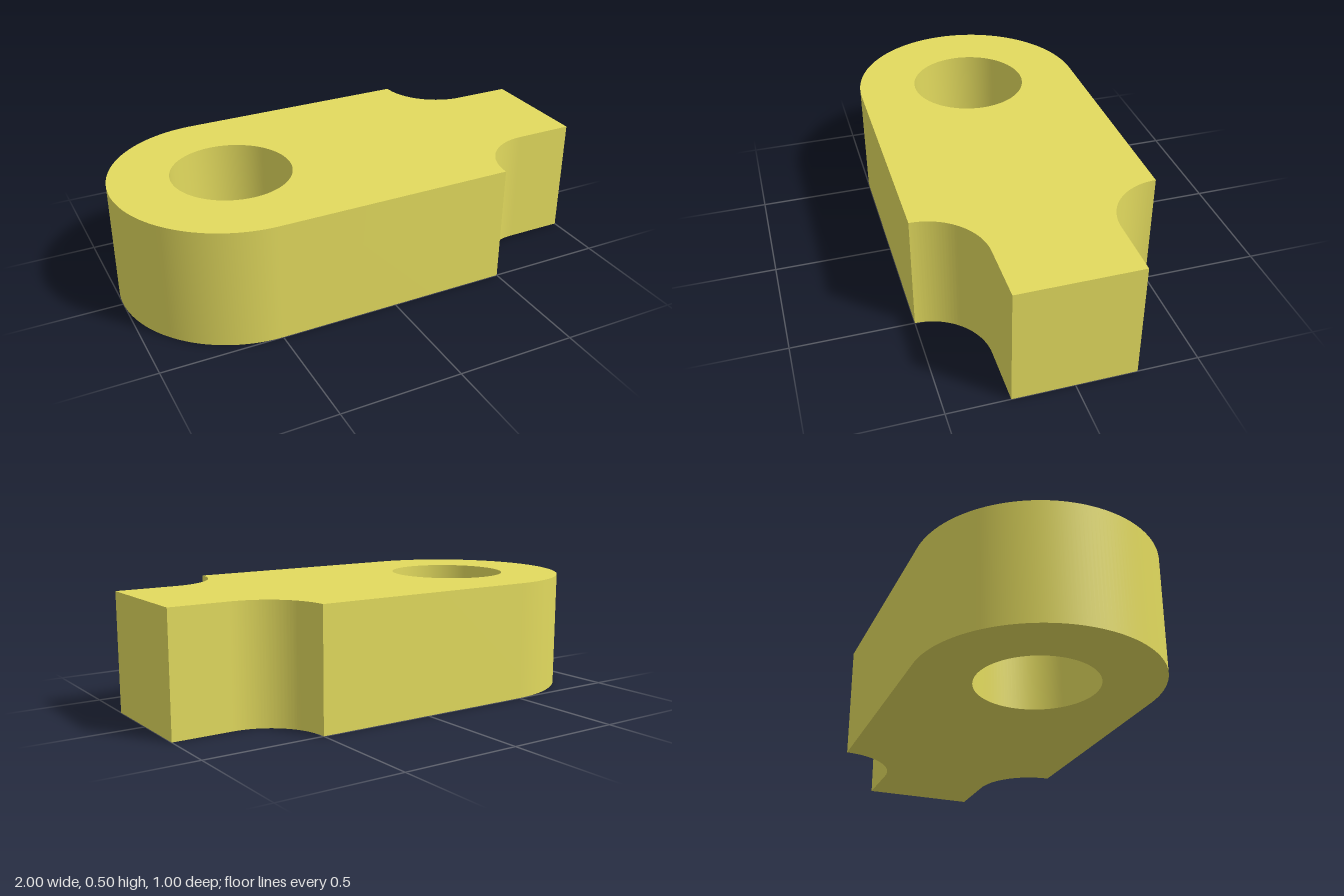
import * as THREE from 'three';
import { toCreasedNormals } from 'three/addons/utils/BufferGeometryUtils.js';

const HEIGHT = 0.5;

export function createModel() {
  const group = new THREE.Group();
  group.name = 'linkPlate';

  // Outline: square tongue, two concave fillets, rounded eye end
  const outline = new THREE.Shape();
  outline.moveTo(1, -0.25);
  outline.lineTo(1, 0.25);
  outline.absarc(0.75, 0.5, 0.25, -Math.PI / 2, -Math.PI, true);
  outline.absarc(-0.5, 0, 0.5, Math.PI / 2, Math.PI * 1.5, false);
  outline.absarc(0.75, -0.5, 0.25, Math.PI, Math.PI / 2, true);

  // Round through hole, concentric with the rounded end
  const bore = new THREE.Path();
  bore.absarc(-0.5, 0, 0.25, 0, Math.PI * 2, true);
  outline.holes.push(bore);

  // Extrude upward, smooth along the curves and sharp at the edges
  const solid = new THREE.ExtrudeGeometry(outline, {
    depth: HEIGHT,
    bevelEnabled: false,
    curveSegments: 48,
  });
  solid.rotateX(-Math.PI / 2);

  const body = new THREE.Mesh(
    toCreasedNormals(solid, 0.5),
    new THREE.MeshStandardMaterial({ color: 0xe2da5e })
  );
  body.name = 'linkBody';
  group.add(body);
  return group;
}
